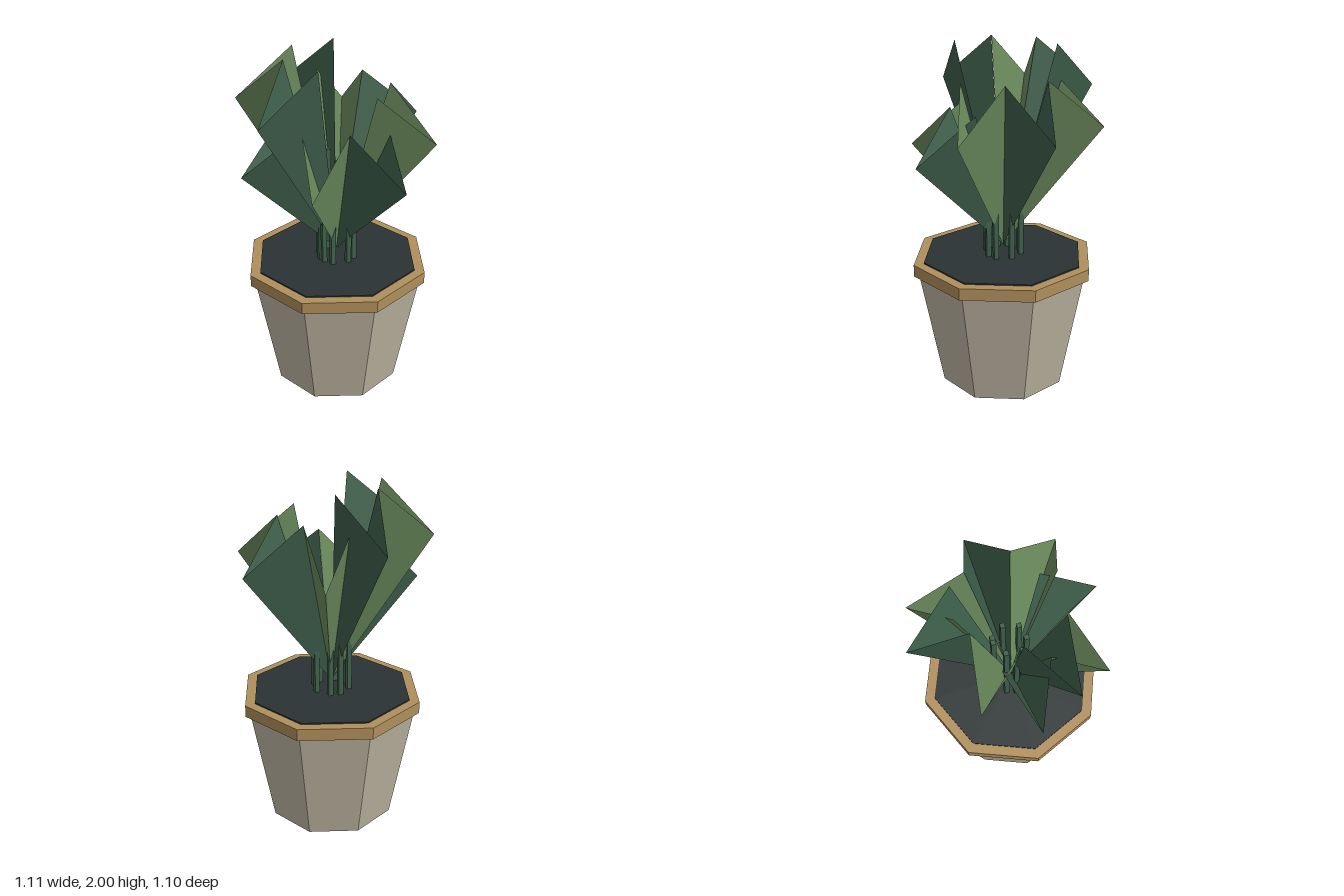
import * as THREE from 'three';

const mat = (color, side = THREE.FrontSide) =>
  new THREE.MeshStandardMaterial({ color, side, flatShading: true });

// Folded leaf pointing along +x: low outer tip, two raised side corners
function leafGeometry(tipY) {
  const base = [0, 0.83, 0], tip = [0.56, tipY, 0];
  const corner = (s) => [0.262, tipY + 0.27, 0.13 * s];
  const g = new THREE.BufferGeometry();
  const points = [base, corner(1), tip, base, tip, corner(-1)].flat();
  g.setAttribute('position', new THREE.Float32BufferAttribute(points, 3));
  g.computeVertexNormals();
  return g;
}

export function createModel() {
  const model = new THREE.Group();
  const add = (name, geometry, material, x = 0, y = 0, z = 0) => {
    const mesh = new THREE.Mesh(geometry, material);
    mesh.name = name;
    mesh.position.set(x, y, z);
    model.add(mesh);
    return mesh;
  };

  // Eight-sided pot, rim and soil
  const octagon = (top, bottom, h) => new THREE.CylinderGeometry(top, bottom, h, 8);
  add('pot', octagon(0.507, 0.375, 0.7), mat(0xbdb6a2), 0, 0.35);
  add('rim', octagon(0.538, 0.538, 0.07), mat(0xb08f5c), 0, 0.737);
  add('soil', octagon(0.478, 0.478, 0.02), mat(0x2b3233), 0, 0.77);

  // Leaves and stems: [angle in degrees, height level]
  const green = mat(0x3f604c, THREE.DoubleSide);
  const sage = mat(0x6b8b5d, THREE.DoubleSide);
  const stemMat = mat(0x3f604c);
  const leaves = [
    [180, 0], [212.3, 2], [264.8, 2], [297.8, 1], [350.4, 1],
    [42.9, 1], [74.5, 0], [127.3, 0], [159.3, 2],
  ];
  leaves.forEach(([deg, level], i) => {
    const a = THREE.MathUtils.degToRad(deg);
    const leaf = add('leaf', leafGeometry(1.39 + 0.17 * level), i % 2 ? sage : green);
    leaf.rotation.y = -a;

    const top = 1.26 + 0.08 * level, bottom = 0.77;
    add('stem', new THREE.BoxGeometry(0.028, top - bottom, 0.028), stemMat,
      0.103 * Math.cos(a), (top + bottom) / 2, 0.103 * Math.sin(a));
  });

  model.position.z = 0.005;
  return model;
}
